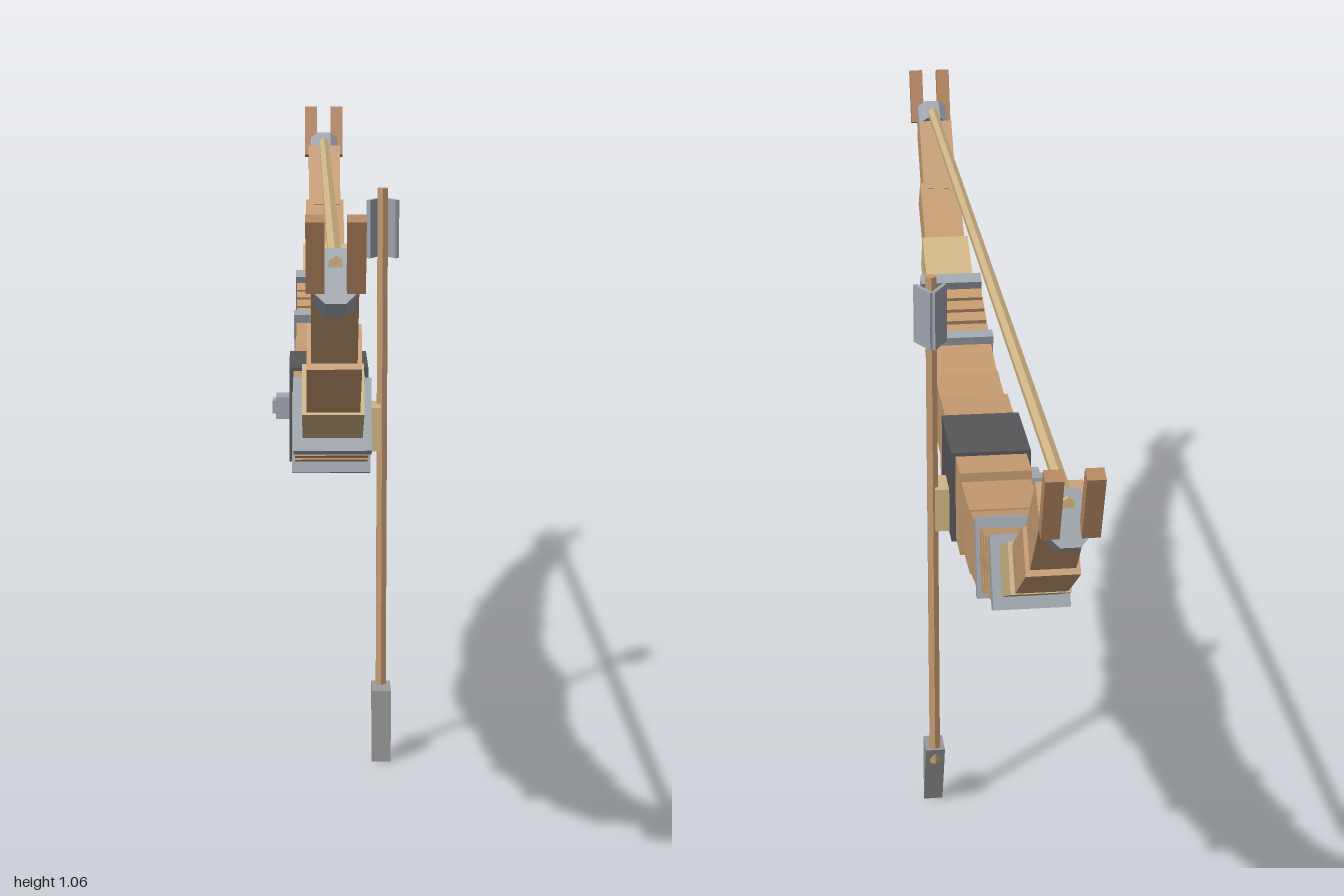
import * as THREE from 'three';

const mat = (name, color) => {
  const m = new THREE.MeshStandardMaterial({ color });
  m.name = name;
  return m;
};

export function createModel() {
  const wood = mat('wood', 0xc49a70);
  const paleWood = mat('paleWood', 0xcfb585);
  const darkWood = mat('darkWood', 0xb58660);
  const metal = mat('metal', 0xa0a6ae);
  const steel = mat('steel', 0x9a9a9a);
  const wrap = mat('wrap', 0x555658);

  const model = new THREE.Group();
  model.name = 'bowAndArrow';

  const add = (parent, name, geometry, material, x, y, z, rx = 0) => {
    const mesh = new THREE.Mesh(geometry, material);
    mesh.name = name;
    mesh.position.set(x, y, z);
    mesh.rotation.x = rx;
    parent.add(mesh);
    return mesh;
  };
  // Box of width x, height y, length z, pitched upwards towards +z by some degrees
  const box = (parent, name, material, [w, h, l], [x, y, z], pitch = 0) =>
    add(parent, name, new THREE.BoxGeometry(w, h, l), material, x, y, z, -THREE.MathUtils.degToRad(pitch));

  const CX = -0.012; // centre line of the bow

  // Grip and its dark wrap
  box(model, 'grip', wood, [0.116, 0.144, 0.33], [CX, 0.628, 0]);
  box(model, 'gripWrap', wrap, [0.13, 0.158, 0.162], [CX, 0.627, -0.016]);
  // Arrow rest on the left, sight knob on the right
  box(model, 'arrowRest', paleWood, [0.03, 0.075, 0.06], [0.061, 0.588, -0.03]);
  box(model, 'sightKnob', metal, [0.026, 0.037, 0.046], [-0.087, 0.622, -0.04]);
  box(model, 'sightKnobEnd', metal, [0.008, 0.022, 0.03], [-0.102, 0.622, -0.04]);

  // One limb reaching towards +z, the other turned half round
  const limb = (name, turn) => {
    const g = new THREE.Group();
    g.name = name;
    g.position.x = CX;
    g.rotation.y = turn;
    model.add(g);

    // Overlapping segments: material, size, y, z, pitch
    const segments = [
      [wood, [0.112, 0.107, 0.15], 0.635, 0.22, 4],
      [wood, [0.11, 0.1, 0.135], 0.65, 0.345, 11],
      [paleWood, [0.086, 0.074, 0.125], 0.757, 0.634, 28],
      [wood, [0.074, 0.068, 0.135], 0.825, 0.746, 36],
      [wood, [0.062, 0.062, 0.14], 0.918, 0.837, 50],
    ];
    segments.forEach(([m, size, y, z, pitch], i) =>
      box(g, 'limbSegment' + (i + 1), m, size, [0, y, z], pitch));

    // Ribbed section between two metal bands
    box(g, 'ribCore', darkWood, [0.09, 0.064, 0.18], [0, 0.697, 0.495], 19);
    for (const s of [-1, 1])
      box(g, 'ribSlat', wood, [0.012, 0.014, 0.18], [s * 0.048, 0.697, 0.495], 19);
    for (let i = 1; i <= 4; i++) {
      const t = i / 5;
      box(g, 'rib', wood, [0.108, 0.096 - 0.01 * t, 0.024],
        [0, 0.668 + 0.059 * t, 0.41 + 0.17 * t], 17 + 8 * t);
    }
    box(g, 'innerBand', metal, [0.118, 0.122, 0.022], [0, 0.668, 0.408], 15);
    box(g, 'outerBand', metal, [0.112, 0.108, 0.024], [0, 0.727, 0.58], 25);

    // Tip cap with chamfered edges
    const a = 0.027, b = 0.038, c = 0.014;
    const shape = new THREE.Shape([
      [-a, -b + c], [-a + c, -b], [a - c, -b], [a, -b + c],
      [a, b - c], [a - c, b], [-a + c, b], [-a, b - c],
    ].map(([x, y]) => new THREE.Vector2(x, y)));
    const cap = new THREE.ExtrudeGeometry(shape, { depth: 0.046, bevelEnabled: false });
    cap.translate(0, 0, -0.023);
    add(g, 'tipCap', cap, metal, 0, 0.968, 0.926, -THREE.MathUtils.degToRad(30));

    // Pair of prongs leaning outwards
    for (const s of [-1, 1])
      box(g, 'tipProng', darkWood, [0.024, 0.1, 0.022], [s * 0.026, 1.01, 0.972], -20);
  };
  limb('frontLimb', 0);
  limb('backLimb', Math.PI);

  // String
  const string = new THREE.CylinderGeometry(0.01, 0.01, 1.88, 6).toNonIndexed();
  string.computeVertexNormals();
  add(model, 'bowString', string, paleWood, CX, 0.994, 0, Math.PI / 2);

  // Arrow hanging point down beside the grip
  const arrow = new THREE.Group();
  arrow.name = 'arrow';
  arrow.position.set(0.079, 0, -0.042);
  model.add(arrow);
  const shaft = new THREE.CylinderGeometry(0.01, 0.01, 0.89, 6).toNonIndexed();
  shaft.computeVertexNormals();
  add(arrow, 'arrowShaft', shaft, wood, 0, 0.545, 0);

  // Wedge head: triangular side profile, drawn in (-z, y) and turned to run along x
  const wedge = new THREE.Shape([[-0.04, 0.128], [-0.04, 0], [0.014, 0.13]].map(([x, y]) => new THREE.Vector2(x, y)));
  const headGeo = new THREE.ExtrudeGeometry(wedge, { depth: 0.033, bevelEnabled: false });
  headGeo.translate(0, 0, -0.0165);
  headGeo.rotateY(Math.PI / 2);
  add(arrow, 'arrowHead', headGeo, steel, 0, 0, 0);

  // Two vanes meeting behind the shaft
  for (const s of [-1, 1]) {
    const vane = box(arrow, 'arrowVane', metal, [0.007, 0.097, 0.048], [s * 0.0125, 0.923, -0.005]);
    vane.rotation.y = s * 0.5;
  }
  return model;
}
